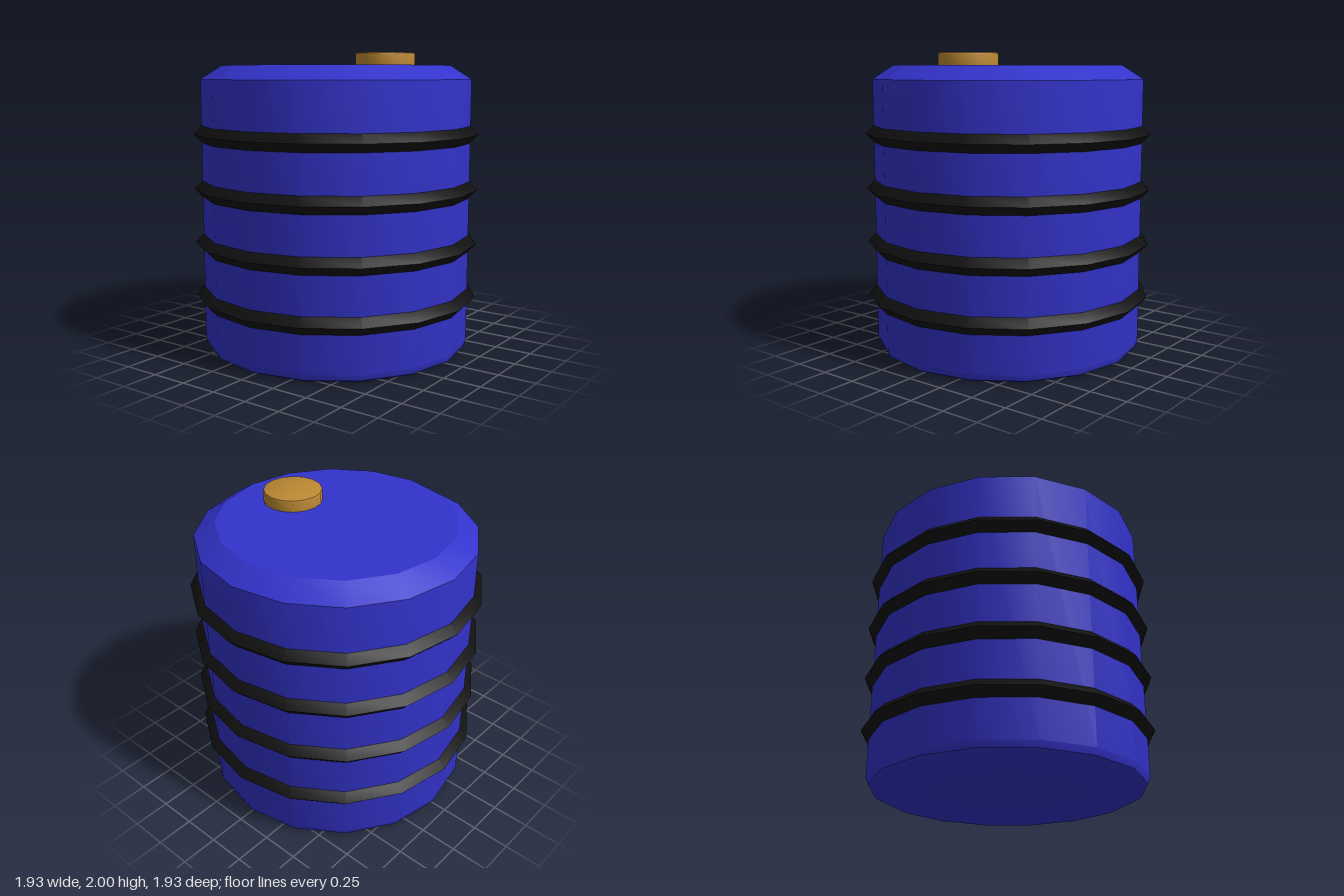
import * as THREE from 'three';
import { toCreasedNormals } from 'three/addons/utils/BufferGeometryUtils.js';

const SIDES = 16;

// Sixteen-sided turned part with smooth sides and sharp rims
function turned(name, profile, material) {
  const points = profile.map(([r, y]) => new THREE.Vector2(r, y));
  const geometry = toCreasedNormals(new THREE.LatheGeometry(points, SIDES), 0.5);
  const mesh = new THREE.Mesh(geometry, material);
  mesh.name = name;
  return mesh;
}

export function createModel() {
  const blue = new THREE.MeshStandardMaterial({ name: 'blue plastic', color: 0x3333cc });
  const black = new THREE.MeshStandardMaterial({ name: 'black rubber', color: 0x101010 });
  const gold = new THREE.MeshStandardMaterial({ name: 'gold cap', color: 0xbb8833 });

  const group = new THREE.Group();
  group.name = 'barrel';

  // Drum with a rounded foot and a bevelled shoulder
  group.add(turned('drumBody', [
    [0, 0], [0.86, 0], [0.896, 0.018], [0.912, 0.06],
    [0.912, 1.83], [0.772, 1.92], [0, 1.92],
  ], blue));

  // Four pointed hoops
  for (let i = 1; i <= 4; i++) {
    const hoop = turned('hoop' + i, [
      [0.9, -0.06], [0.912, -0.056], [0.965, 0], [0.912, 0.056], [0.9, 0.06],
    ], black);
    hoop.position.y = i * 0.3665;
    group.add(hoop);
  }

  // Off-centre filler cap with a softened rim
  const cap = turned('fillerCap', [
    [0.195, 0], [0.195, 0.068], [0.192, 0.076], [0.184, 0.08], [0, 0.08],
  ], gold);
  cap.position.set(-0.015, 1.92, 0.4);
  group.add(cap);

  return group;
}
